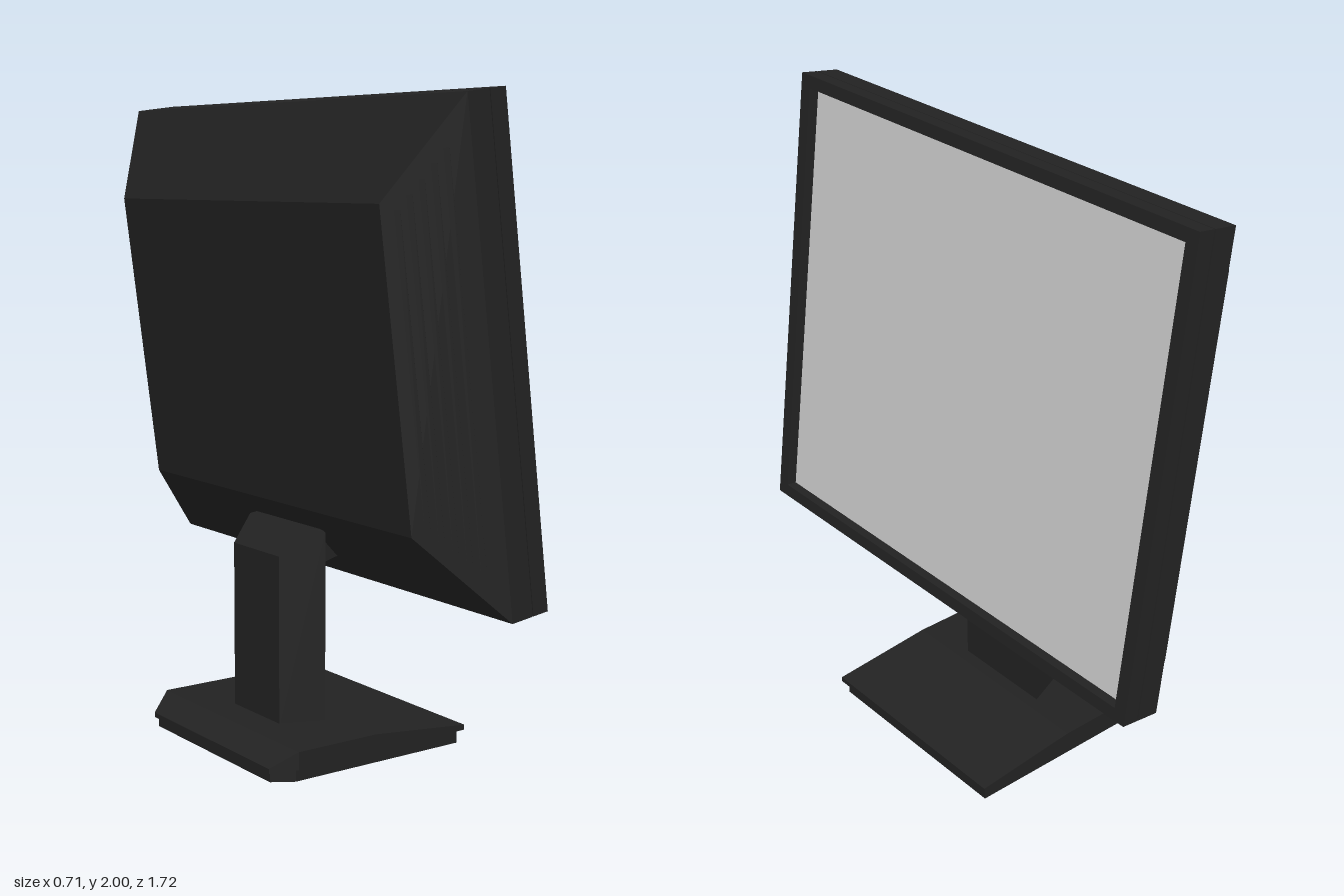
import * as THREE from 'three';

const dark = new THREE.MeshStandardMaterial({ color: 0x222222 });
const glass = new THREE.MeshStandardMaterial({ color: 0xc2c2c2 });

function add(parent, name, geometry, material = dark) {
  const mesh = new THREE.Mesh(geometry, material);
  mesh.name = name;
  parent.add(mesh);
  return mesh;
}

// Box between x0 and x1, centred on y and z
function slab(x0, x1, height, width) {
  return new THREE.BoxGeometry(x1 - x0, height, width).translate((x0 + x1) / 2, 0, 0);
}

// Side profile in x and y, extruded across z
function profile(points, width) {
  const shape = new THREE.Shape(points.map(([x, y]) => new THREE.Vector2(x, y)));
  return new THREE.ExtrudeGeometry(shape, { depth: width, bevelEnabled: false }).translate(0, 0, -width / 2);
}

// Moves each vertex by a rule, then rebuilds the flat normals
function reshape(geometry, rule) {
  const p = geometry.attributes.position;
  const v = new THREE.Vector3();
  for (let i = 0; i < p.count; i++) {
    v.fromBufferAttribute(p, i);
    rule(v);
    p.setXYZ(i, v.x, v.y, v.z);
  }
  geometry.computeVertexNormals();
  return geometry;
}

// Box passing through rectangular stations along x: [x, bottom, top, half width]
function loft(stations) {
  const n = stations.length - 1;
  return reshape(new THREE.BoxGeometry(1, 1, 1, n, 1, 1).toNonIndexed(), v => {
    const [x, bottom, top, half] = stations[Math.round((v.x + 0.5) * n)];
    v.set(x, v.y > 0 ? top : bottom, Math.sign(v.z) * half);
  });
}

function rect(path, w, h) {
  path.moveTo(-w / 2, -h / 2);
  path.lineTo(w / 2, -h / 2);
  path.lineTo(w / 2, h / 2);
  path.lineTo(-w / 2, h / 2);
  path.closePath();
  return path;
}

function createDisplay() {
  const H = 1.47, W = 1.72;
  const backH = 0.93, backW = 1.38, rimX = -0.134, backX = -0.328;
  const display = new THREE.Group();
  display.name = 'display';

  // Front bezel around the recessed screen
  const frame = rect(new THREE.Shape(), W, H);
  frame.holes.push(rect(new THREE.Path(), W - 0.085, H - 0.08));
  add(display, 'bezel', new THREE.ExtrudeGeometry(frame, { depth: 0.055, bevelEnabled: false })
    .rotateY(Math.PI / 2).translate(-0.055, 0, 0));
  add(display, 'screen', slab(-0.055, -0.035, H - 0.08, W - 0.085), glass);

  // Narrow seam and rear rim
  add(display, 'seam', slab(-0.058, -0.055, H - 0.006, W - 0.006));
  add(display, 'rearRim', slab(rimX, -0.058, H, W));

  // Tapered back shell
  add(display, 'backShell', reshape(slab(backX, rimX, H, W), v => {
    if (v.x < (backX + rimX) / 2) {
      v.y *= backH / H;
      v.z *= backW / W;
    }
  }));

  // Vent ribs on both sloping sides, longer towards the rim
  const slope = Math.atan2((W - backW) / 2, rimX - backX);
  for (const side of [-1, 1]) {
    for (let i = 0; i < 5; i++) {
      const t = 0.18 + i * 0.14;
      const length = THREE.MathUtils.lerp(backH, H, t) - 0.14;
      const vent = add(display, 'ventRib', new THREE.BoxGeometry(0.016, length, 0.006));
      vent.position.set(
        THREE.MathUtils.lerp(backX, rimX, t), 0,
        side * THREE.MathUtils.lerp(backW, W, t) / 2);
      vent.rotation.y = -side * slope;
    }
  }

  display.position.set(0.147, 1.271, 0);
  display.rotation.z = 0.13;
  return display;
}

function createStand() {
  const stand = new THREE.Group();
  stand.name = 'stand';

  // Foot plate and wedge-shaped cover with cut rear corners
  add(stand, 'footPlate', loft([
    [-0.345, 0, 0.035, 0.32], [-0.28, 0, 0.045, 0.36], [0.335, 0, 0.045, 0.36]]));
  add(stand, 'baseCover', loft([
    [-0.355, 0.03, 0.045, 0.33], [-0.28, 0.04, 0.095, 0.377],
    [0, 0.04, 0.095, 0.377], [0.352, 0.044, 0.06, 0.377]]));

  // Neck, narrowing towards the rear and sloped at the top
  add(stand, 'neck', reshape(profile(
    [[-0.178, 0.08], [-0.043, 0.08], [-0.043, 0.69], [-0.06, 0.7], [-0.095, 0.7], [-0.178, 0.62]],
    0.358), v => {
    v.z *= THREE.MathUtils.mapLinear(v.x, -0.043, -0.178, 1, 0.7);
  }));

  // Short arm to the display
  add(stand, 'tiltArm', profile([[-0.06, 0.565], [0.07, 0.6], [0.05, 0.69], [-0.06, 0.68]], 0.24));
  return stand;
}

export function createModel() {
  const model = new THREE.Group();
  model.name = 'monitor';
  model.add(createDisplay(), createStand());
  return model;
}
